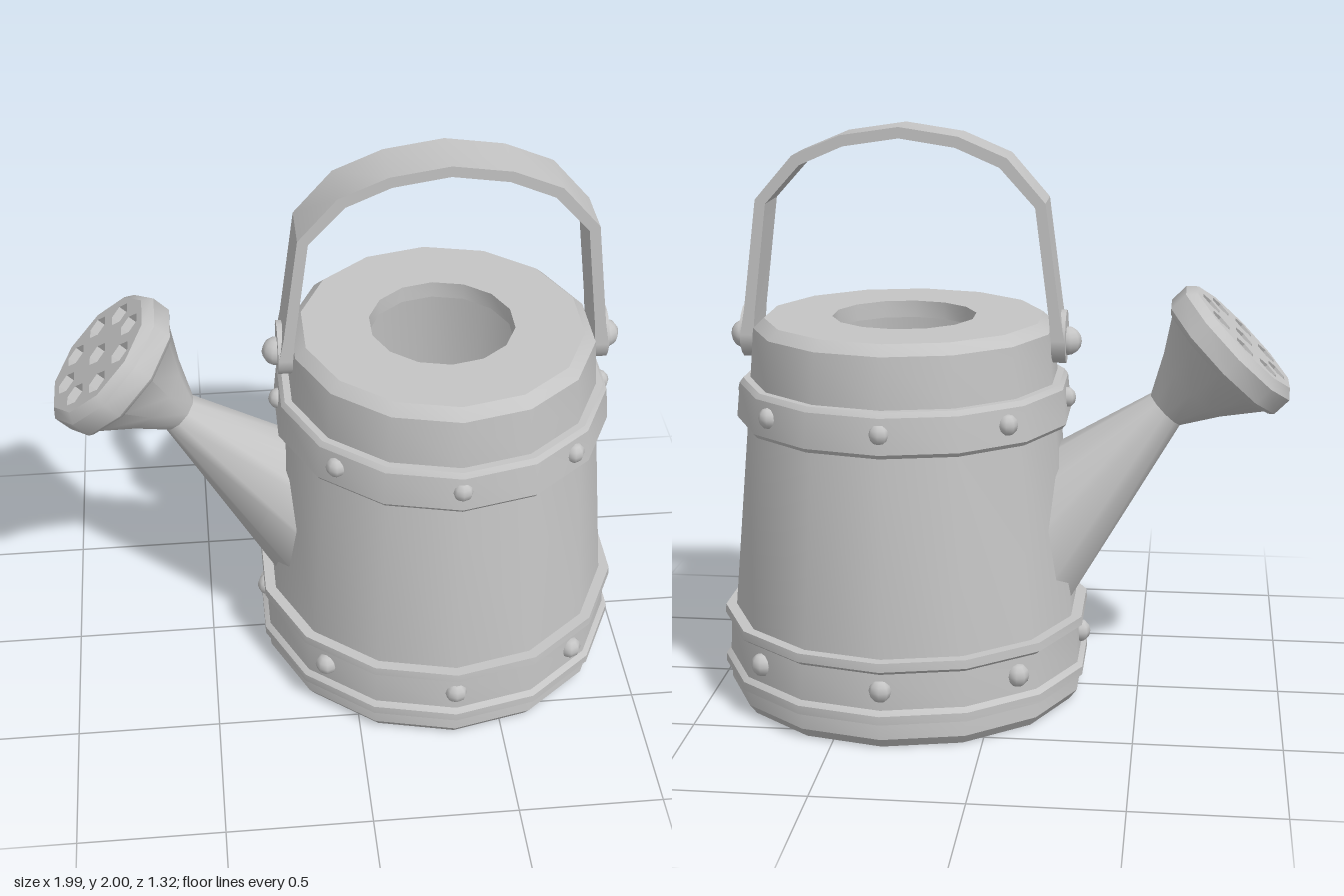
import * as THREE from 'three';
import { toCreasedNormals } from 'three/addons/utils/BufferGeometryUtils.js';

const metal = new THREE.MeshStandardMaterial({ color: 0xc4c4c4 });
metal.name = 'greyMetal';

const vec = ([x, y]) => new THREE.Vector2(x, y);

function add(parent, name, geometry) {
  const mesh = new THREE.Mesh(geometry, metal);
  mesh.name = name;
  parent.add(mesh);
  return mesh;
}

const lathe = (points, sides, crease) =>
  toCreasedNormals(new THREE.LatheGeometry(points.map(vec), sides), crease);

// Eight domed rivets around a band
function rivetRing(parent, name, radius, y, size) {
  const ring = new THREE.Group();
  ring.name = name;
  for (let i = 0; i < 8; i++) {
    const a = (i * Math.PI) / 4;
    const rivet = add(ring, 'rivet', new THREE.SphereGeometry(size, 8, 6));
    rivet.position.set(Math.sin(a) * radius, y, Math.cos(a) * radius);
    rivet.rotation.y = a;
    rivet.scale.z = 0.9;
  }
  parent.add(ring);
}

function regularPolygon(PathType, sides, radius, cx = 0, cy = 0) {
  const points = [];
  for (let i = 0; i < sides; i++) {
    const a = (i / sides) * Math.PI * 2 + Math.PI / 2;
    points.push(new THREE.Vector2(cx + Math.cos(a) * radius, cy + Math.sin(a) * radius));
  }
  return new PathType(points);
}

function createCan() {
  const can = new THREE.Group();
  can.name = 'can';
  // Outer wall with bands, lid with filling hole, hollow inside
  add(can, 'body', lathe([
    [0, 0], [0.61, 0], [0.636, 0.035], [0.632, 0.095],
    [0.655, 0.095], [0.655, 0.125], [0.637, 0.14], [0.632, 0.265],
    [0.652, 0.28], [0.65, 0.31], [0.612, 0.31],
    [0.55, 0.985], [0.575, 0.985], [0.587, 1.0], [0.575, 1.12], [0.562, 1.137],
    [0.537, 1.137], [0.523, 1.31], [0.485, 1.345],
    [0.25, 1.345], [0.25, 1.285], [0.47, 1.285], [0.56, 0.06], [0, 0.06],
  ], 14, 0.5));
  rivetRing(can, 'lowerRivets', 0.622, 0.205, 0.04);
  rivetRing(can, 'upperRivets', 0.566, 1.065, 0.036);
  return can;
}

function createHandle() {
  const handle = new THREE.Group();
  handle.name = 'handle';
  const outer = [[0.562, 1.28], [0.545, 1.37], [0.495, 1.75], [0.365, 1.9], [0.2, 1.97], [0, 2]];
  const inner = [[0.515, 1.28], [0.508, 1.36], [0.46, 1.735], [0.34, 1.868], [0.19, 1.933], [0, 1.962]];
  const mirror = (pts) => pts.slice(0, -1).reverse().map(([x, y]) => [-x, y]);
  const outline = [
    ...outer, ...mirror(outer),
    ...[...inner, ...mirror(inner)].reverse(),
  ];
  const strap = new THREE.ExtrudeGeometry(new THREE.Shape(outline.map(vec)), { depth: 0.186, bevelEnabled: false });
  strap.translate(0, 0, -0.093);
  add(handle, 'strap', toCreasedNormals(strap, 0.5));

  // Rounded strap ends and their pivots
  for (const side of [1, -1]) {
    const tab = new THREE.CylinderGeometry(0.093, 0.093, 0.048, 16);
    tab.rotateZ(Math.PI / 2);
    add(handle, 'strapEnd', tab).position.set(side * 0.54, 1.28, 0);
    const pivot = add(handle, 'pivot', new THREE.SphereGeometry(0.05, 10, 8));
    pivot.position.set(side * 0.566, 1.265, 0);
  }
  return handle;
}

function createSpout() {
  const spout = new THREE.Group();
  spout.name = 'spout';
  // Local +y runs out through the sprinkler face
  add(spout, 'spoutTube', lathe([
    [0, -1.125], [0.285, -1.125], [0.075, -0.345], [0.147, -0.22],
    [0.235, -0.095], [0.25, -0.09], [0.265, -0.075], [0.265, -0.006],
    [0.235, 0.024], [0.235, -0.016], [0, -0.016],
  ], 10, 0.66));

  // Sprinkler plate: one central hole and a ring of eight
  const face = regularPolygon(THREE.Shape, 10, 0.235);
  face.holes.push(regularPolygon(THREE.Path, 6, 0.045));
  for (let i = 0; i < 8; i++) {
    const a = (i * Math.PI) / 4;
    face.holes.push(regularPolygon(THREE.Path, 6, 0.045, Math.cos(a) * 0.16, Math.sin(a) * 0.16));
  }
  const plate = new THREE.ExtrudeGeometry(face, { depth: 0.039, bevelEnabled: false });
  plate.rotateX(-Math.PI / 2);
  plate.translate(0, -0.015, 0);
  add(spout, 'sprinklerPlate', plate);

  spout.position.set(-0.822, 1.275, 0);
  spout.rotation.z = Math.PI / 4;
  return spout;
}

export function createModel() {
  const model = new THREE.Group();
  model.name = 'wateringCan';
  const can = createCan();
  const handle = createHandle();
  can.position.x = handle.position.x = 0.33;
  model.add(can, handle, createSpout());
  return model;
}
